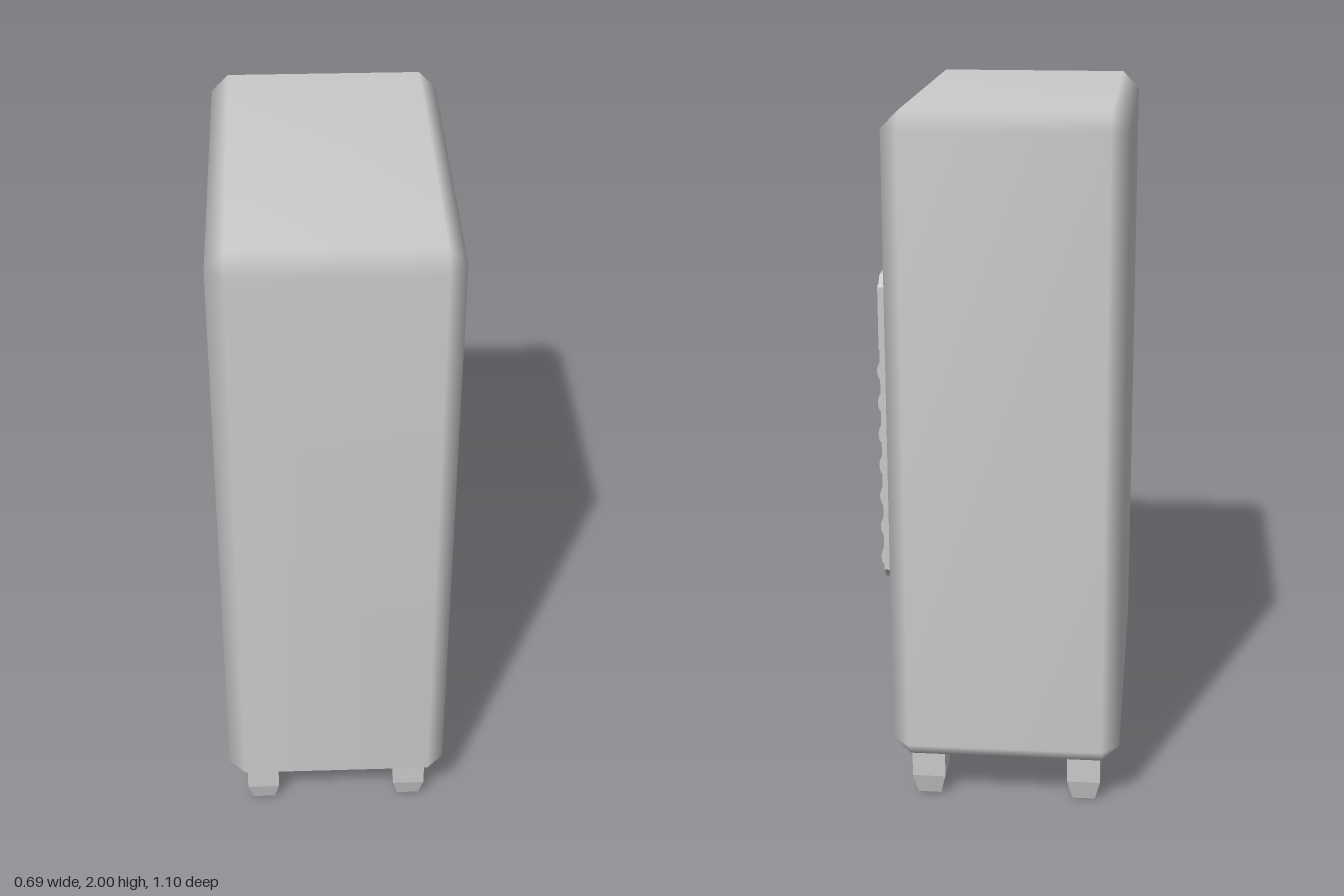
import * as THREE from 'three';
import { ConvexGeometry } from 'three/addons/geometries/ConvexGeometry.js';
import { mergeVertices } from 'three/addons/utils/BufferGeometryUtils.js';

const grey = new THREE.MeshStandardMaterial({ color: 0xcccccc });
const flatGrey = new THREE.MeshStandardMaterial({ color: 0xcccccc, flatShading: true });

function add(parent, name, geometry, material = flatGrey) {
  const mesh = new THREE.Mesh(geometry, material);
  mesh.name = name;
  parent.add(mesh);
  return mesh;
}

// Box with every edge cut by c and smooth shading across the cuts
function chamferedBox(hx, hy, hz, c) {
  const points = [];
  for (const x of [-1, 1]) for (const y of [-1, 1]) for (const z of [-1, 1]) {
    points.push(
      new THREE.Vector3(x * hx, y * (hy - c), z * (hz - c)),
      new THREE.Vector3(x * (hx - c), y * hy, z * (hz - c)),
      new THREE.Vector3(x * (hx - c), y * (hy - c), z * hz));
  }
  const raw = new ConvexGeometry(points);
  raw.deleteAttribute('normal');
  const geometry = mergeVertices(raw, 1e-4);
  geometry.computeVertexNormals();
  return geometry;
}

// Rectangle with cut corners; u runs towards -z, v runs up
function plateOutline(u0, u1, v0, v1, c = 0) {
  const p = c > 0
    ? [[u0 + c, v0], [u1 - c, v0], [u1, v0 + c], [u1, v1 - c], [u1 - c, v1], [u0 + c, v1], [u0, v1 - c], [u0, v0 + c]]
    : [[u0, v0], [u1, v0], [u1, v1], [u0, v1]];
  return p.map(([u, v]) => new THREE.Vector2(u, v));
}

// Plate on the +x side, from x0 to x1, with optional hole outlines
function sidePlate(outline, x0, x1, holes = []) {
  const shape = new THREE.Shape(outline);
  for (const h of holes) shape.holes.push(new THREE.Path(h));
  return new THREE.ExtrudeGeometry(shape, { depth: x1 - x0, bevelEnabled: false })
    .rotateY(Math.PI / 2).translate(x0, 0, 0);
}

export function createModel() {
  const model = new THREE.Group();
  model.name = 'vendingMachine';

  // Cabinet
  add(model, 'cabinet', chamferedBox(0.3285, 0.9325, 0.55, 0.05), grey)
    .position.set(-0.0165, 1.0675, 0);

  // Four square feet tapering at the bottom
  const profile = [[0, 0], [0.033, 0], [0.048, 0.06], [0.048, 0.14], [0, 0.14]]
    .map(([r, y]) => new THREE.Vector2(r * Math.SQRT2, y));
  const foot = new THREE.LatheGeometry(profile, 4, Math.PI / 4);
  for (const x of [-0.243, 0.21]) for (const z of [-0.448, 0.448]) {
    add(model, 'foot', foot).position.set(x, 0, z);
  }

  // Control panel
  const panel = new THREE.Group();
  panel.name = 'controlPanel';
  model.add(panel);
  add(panel, 'panelPlate', sidePlate(plateOutline(0.292, 0.48, 0.67, 1.55, 0.03), 0.305, 0.33));

  // Coin unit with a recessed window and two small tabs under it
  add(panel, 'coinUnit', sidePlate(plateOutline(0.308, 0.458, 1.34, 1.52), 0.328, 0.336,
    [plateOutline(0.322, 0.448, 1.4, 1.505)]));
  for (const z of [-0.365, -0.4]) {
    add(panel, 'coinTab', new THREE.BoxGeometry(0.008, 0.045, 0.012)).position.set(0.337, 1.37, z);
  }

  // Column of rounded selection buttons
  const button = new THREE.CylinderGeometry(1, 1, 0.145, 16, 1, false, 0, Math.PI)
    .rotateX(Math.PI / 2).scale(0.013, 0.027, 1);
  for (let i = 0; i < 7; i++) {
    add(panel, 'button', button, grey).position.set(0.329, 1.278 - i * 0.0913, -0.383);
  }

  // Collection hatch: frame around a sunken flap
  add(model, 'hatchFrame', sidePlate(plateOutline(-0.363, 0.183, 0.305, 0.535), 0.305, 0.324,
    [plateOutline(-0.32, 0.14, 0.345, 0.495)]));
  add(model, 'hatchFlap', sidePlate(plateOutline(-0.32, 0.14, 0.345, 0.495), 0.305, 0.315));

  return model;
}
